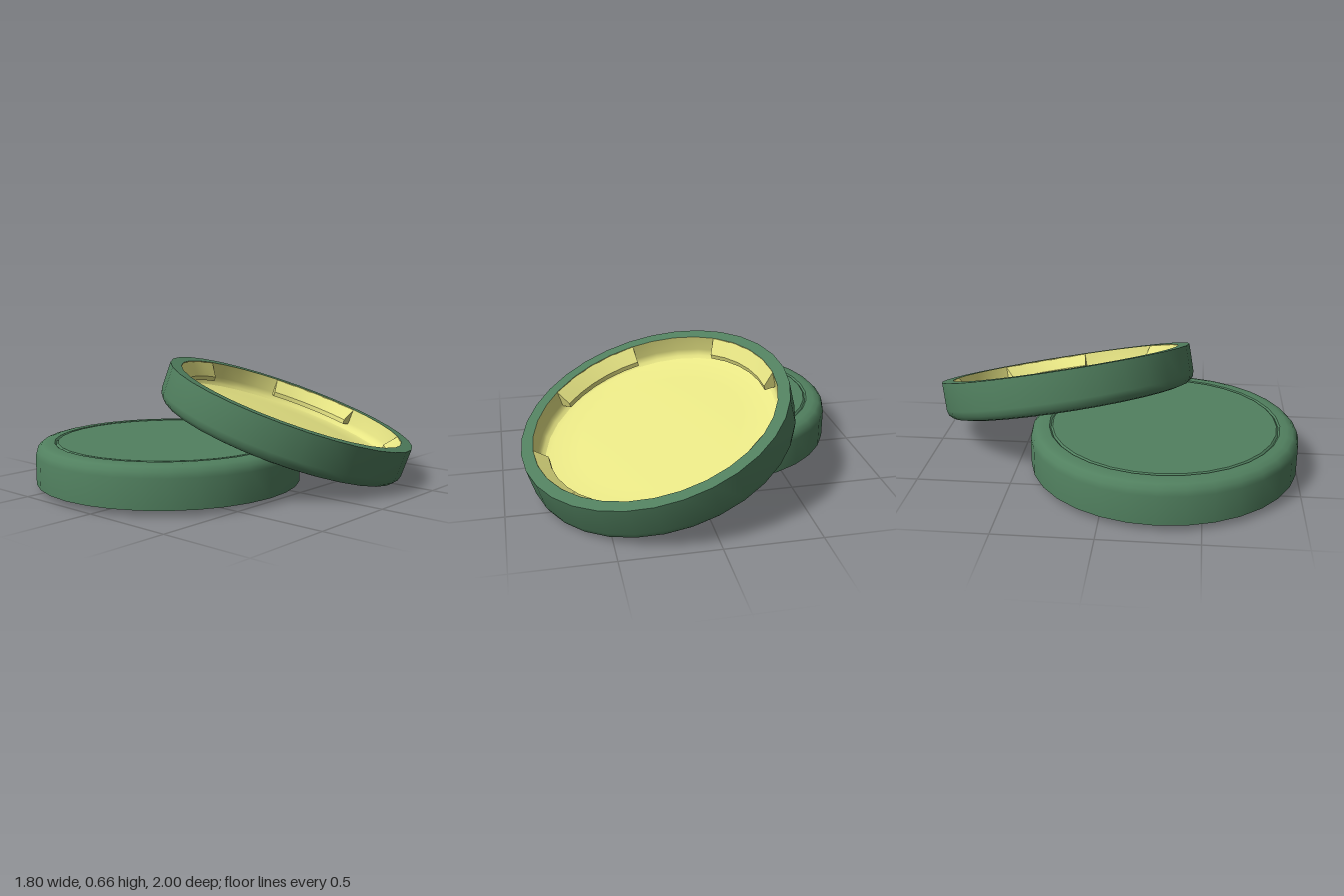
import * as THREE from 'three';
import { toCreasedNormals } from 'three/addons/utils/BufferGeometryUtils.js';

const H = 0.215, R = 0.716, INNER = 0.652, SIDES = 32;

const green = new THREE.MeshStandardMaterial({ color: 0x51805f });
green.name = 'lid green';
const yellow = new THREE.MeshStandardMaterial({ color: 0xeae886, side: THREE.DoubleSide });
yellow.name = 'lining yellow';

const vec = (pts) => pts.map(([x, y]) => new THREE.Vector2(x, y));

// rounded profile points about (cx, cy) between two angles
function arc(cx, cy, r, from, to, n) {
  const pts = [];
  for (let i = 0; i <= n; i++) {
    const a = from + ((to - from) * i) / n;
    pts.push([cx + r * Math.cos(a), cy + r * Math.sin(a)]);
  }
  return pts;
}

function turned(name, pts, material, crease = 0.6, sides = SIDES, start = 0, length = Math.PI * 2) {
  const geo = toCreasedNormals(new THREE.LatheGeometry(vec(pts), sides, start, length), crease);
  const mesh = new THREE.Mesh(geo, material);
  mesh.name = name;
  return mesh;
}

// one wedge-shaped locking lug inside the rim, with closed ends
function lug(mid) {
  const g = new THREE.Group();
  g.name = 'lug';
  const half = THREE.MathUtils.degToRad(23.5);
  const profile = [[INNER, H - 0.003], [0.592, H - 0.072], [0.592, H - 0.098], [INNER, H - 0.098]];
  g.add(turned('lugFace', profile, yellow, 0.4, 5, mid - half, half * 2));
  for (const phi of [mid - half, mid + half]) {
    const end = new THREE.Mesh(new THREE.ShapeGeometry(new THREE.Shape(vec(profile))), yellow);
    end.name = 'lugEnd';
    end.rotation.y = phi - Math.PI / 2;
    g.add(end);
  }
  return g;
}

// a lid with its opening facing +y
function lid(name, yaw) {
  const g = new THREE.Group();
  g.name = name;
  const body = new THREE.Group();
  body.name = 'lidBody';
  body.rotation.y = THREE.MathUtils.degToRad(yaw);
  // outer shell: panel, ring groove, rounded shoulder, side wall, rim
  body.add(turned('shell', [
    [0, 0], [0.598, 0], [0.607, 0.008], [0.616, 0],
    ...arc(R - 0.06, 0.06, 0.06, -Math.PI / 2, 0, 3),
    [R, H], [INNER, H],
  ], green));
  // inner wall, rounded corner and slightly domed floor
  body.add(turned('lining', [
    [INNER, H], ...arc(INNER - 0.052, 0.129, 0.052, 0, -Math.PI / 3, 3),
    [0.6, 0.077], [0.45, 0.083], [0.25, 0.088], [0, 0.09],
  ], yellow, 0.4));
  for (let i = 0; i < 4; i++) body.add(lug((i * Math.PI) / 2));
  g.add(body);
  return g;
}

export function createModel() {
  const model = new THREE.Group();
  model.name = 'jarLids';

  // lid lying face up, opening downward
  const flat = lid('flatLid', -45);
  flat.rotation.x = Math.PI;
  flat.position.set(-0.184, 0.245, 0.285);
  model.add(flat);

  // upturned lid leaning on the first
  const n = new THREE.Vector3(0.275, 0.945, -0.18).normalize();
  const leaning = lid('leaningLid', 22.5);
  leaning.quaternion.setFromUnitVectors(new THREE.Vector3(0, 1, 0), n);
  leaning.position.set(0.207, 0.42, -0.299).addScaledVector(n, -H);
  model.add(leaning);

  return model;
}
